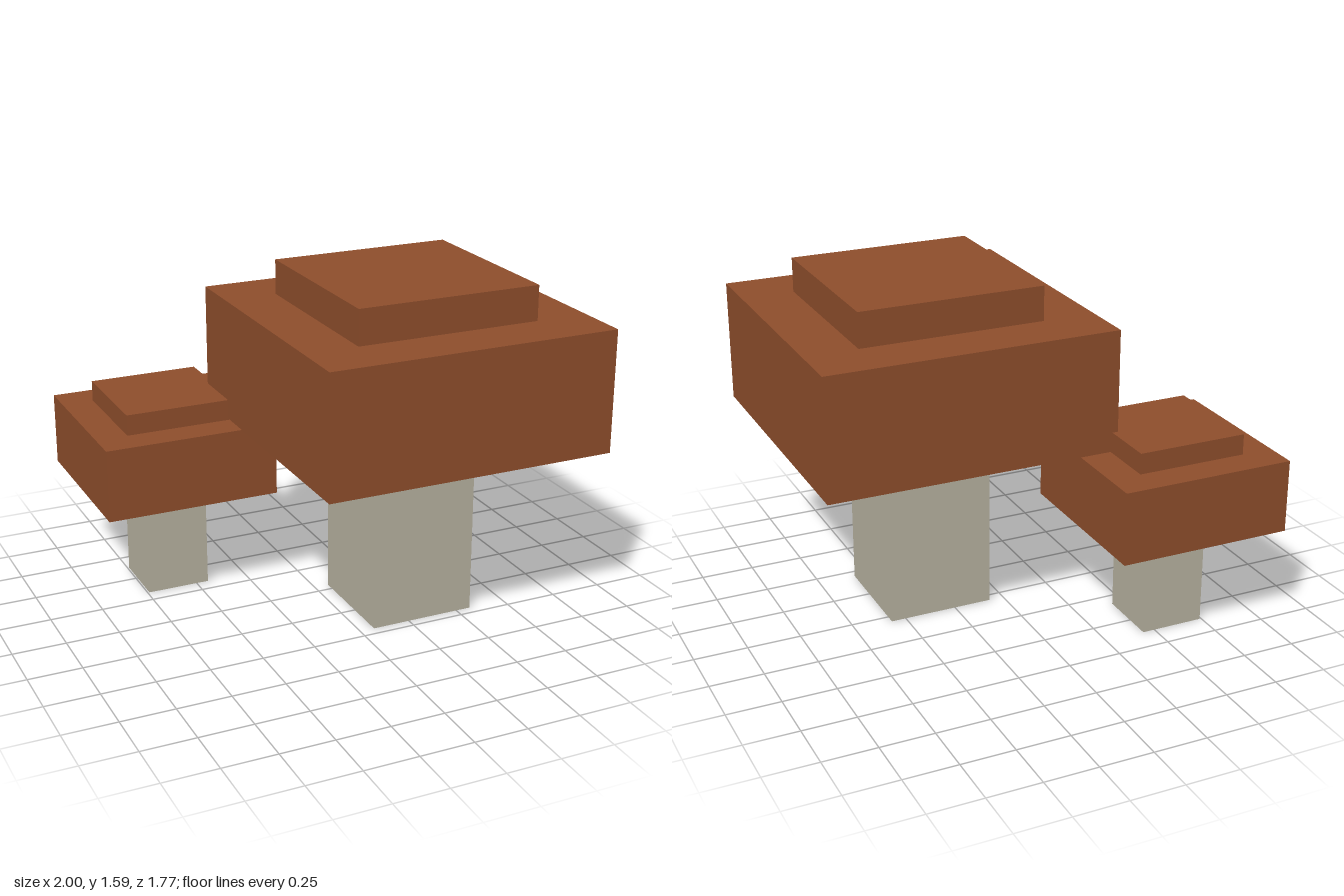
import * as THREE from 'three';

const capBrown = new THREE.MeshStandardMaterial({ color: 0x8f4e2c, side: THREE.DoubleSide, flatShading: true });
const stemGrey = new THREE.MeshStandardMaterial({ color: 0xb8b2a0, side: THREE.DoubleSide, flatShading: true });

// Square shell: profile of [half width, height] swept round four sides
function squareShell(name, profile, material) {
  const points = profile.map(([half, y]) => new THREE.Vector2(half * Math.SQRT2, y));
  const swept = new THREE.LatheGeometry(points, 4, Math.PI / 4);
  const geometry = swept.toNonIndexed();
  geometry.computeVertexNormals();
  const mesh = new THREE.Mesh(geometry, material);
  mesh.name = name;
  return mesh;
}

function createMushroom(name, x, z, scale) {
  const mushroom = new THREE.Group();
  mushroom.name = name;
  // Open tube that runs slightly up into the cap
  mushroom.add(squareShell('stem', [[0.25, 0], [0.25, 0.915]], stemGrey));
  // Hollow stepped cap, open underneath
  mushroom.add(squareShell('cap', [
    [0.68, 0.865], [0.68, 1.432], [0.432, 1.432], [0.432, 1.594], [0, 1.594],
  ], capBrown));
  mushroom.position.set(x, 0, z);
  mushroom.scale.setScalar(scale);
  return mushroom;
}

export function createModel() {
  const model = new THREE.Group();
  model.name = 'mushrooms';
  model.add(createMushroom('largeMushroom', 0.32, 0.203, 1));
  model.add(createMushroom('smallMushroom', -0.592, -0.477, 0.6));
  return model;
}
